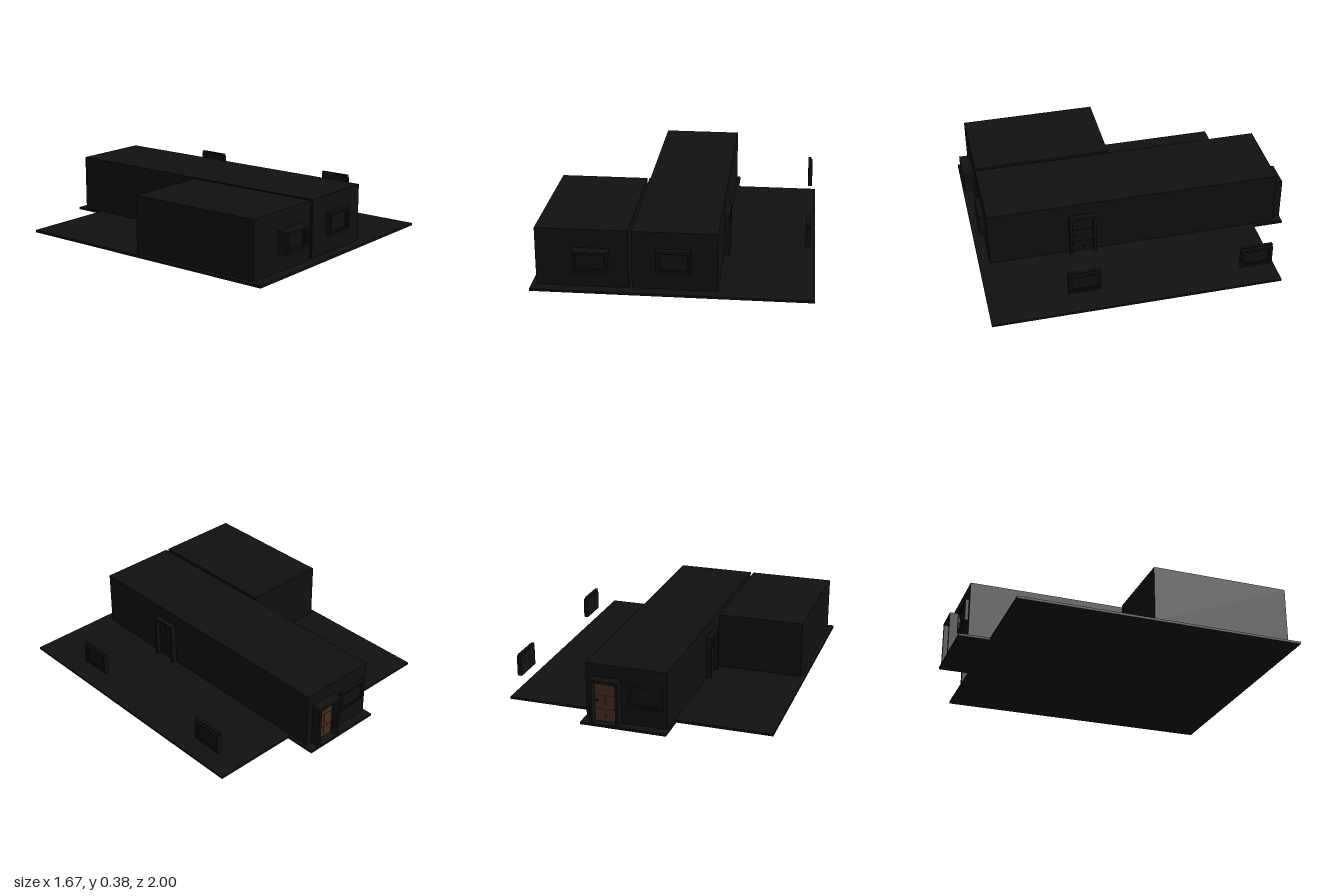
import * as THREE from 'three';

const dark = new THREE.MeshStandardMaterial({ color: 0x111111 });
const brown = new THREE.MeshStandardMaterial({ color: 0x4a2c22 });

// Box given by its min and max along each axis
function box(name, x0, x1, y0, y1, z0, z1, material = dark) {
  const mesh = new THREE.Mesh(new THREE.BoxGeometry(x1 - x0, y1 - y0, z1 - z0), material);
  mesh.position.set((x0 + x1) / 2, (y0 + y1) / 2, (z0 + z1) / 2);
  mesh.name = name;
  return mesh;
}

// Rectangular ring around an opening, extruded along +z from z = 0
function ring(name, w, h, border, depth) {
  const rect = (Type, a, b) => new Type([[-a, -b], [a, -b], [a, b], [-a, b]].map(p => new THREE.Vector2(...p)));
  const shape = rect(THREE.Shape, w / 2, h / 2);
  shape.holes.push(rect(THREE.Path, w / 2 - border, h / 2 - border));
  const mesh = new THREE.Mesh(new THREE.ExtrudeGeometry(shape, { depth, bevelEnabled: false }), dark);
  mesh.name = name;
  return mesh;
}

// Window facing +z, its back at z = 0 and its middle at the origin
function makeWindow(name, w, h, d) {
  const g = new THREE.Group();
  g.name = name;
  const sash = ring('windowSash', w - 0.03, h - 0.03, 0.008, d * 0.75);
  g.add(
    ring('windowFrame', w, h, 0.015, d), sash,
    box('windowPane', -w / 2 + 0.015, w / 2 - 0.015, -h / 2 + 0.015, h / 2 - 0.015, 0, d * 0.5),
  );
  return g;
}

// Panelled door facing +z, standing on y = 0 with its back at z = 0
function makeDoor(name, w, h, d, leafMaterial) {
  const g = new THREE.Group();
  g.name = name;
  const t = 0.018;
  const inner = w / 2 - t;
  g.add(
    box('doorJamb', -w / 2, -inner, 0, h, 0, d),
    box('doorJamb', inner, w / 2, 0, h, 0, d),
    box('doorHead', -inner, inner, h - t, h, 0, d),
    box('doorLeaf', -inner, inner, 0, h - t, 0, 0.008, leafMaterial),
  );
  // Raised panels, two across and three high
  const pw = inner - 0.012;
  const rows = [[0.02, 0.08], [0.1, 0.17], [0.19, 0.25]];
  for (const s of [-1, 1]) for (const [y0, y1] of rows) {
    const cx = s * inner / 2;
    g.add(box('doorPanel', cx - pw / 2, cx + pw / 2, y0, y1, 0.008, 0.012, leafMaterial));
  }
  // Handle
  g.add(box('doorHandle', -inner + 0.008, -inner + 0.025, 0.13, 0.14, 0.008, 0.022));
  return g;
}

function place(part, x, y, z, turn = 0) {
  part.position.set(x, y, z);
  part.rotation.y = turn;
  return part;
}

export function createModel() {
  const model = new THREE.Group();
  model.name = 'house';
  const floor = 0.015;
  const quarter = Math.PI / 2;

  // Ground slab with a porch at the back
  model.add(
    box('groundSlab', -0.835, 0.835, 0, floor, -0.805, 1),
    box('porchSlab', -0.245, 0.29, 0, floor, -1, -0.805),
  );

  // Short wing and long wing, with a narrow gap between them
  model.add(
    box('shortWing', -0.805, -0.255, floor, 0.375, 0.05, 0.93),
    box('longWing', -0.235, 0.27, floor, 0.375, -0.94, 0.93),
  );

  // Doors: +x side, -x side and back
  model.add(
    place(makeDoor('sideDoor', 0.17, 0.28, 0.035, dark), 0.27, floor, 0.335, quarter),
    place(makeDoor('courtDoor', 0.17, 0.28, 0.035, dark), -0.235, floor, -0.08, -quarter),
    place(makeDoor('backDoor', 0.18, 0.28, 0.06, brown), 0.14, floor, -0.94, Math.PI),
  );

  // Windows on the front and back walls
  model.add(
    place(makeWindow('frontWindowShortWing', 0.215, 0.135, 0.07), -0.4725, 0.1925, 0.93),
    place(makeWindow('frontWindowLongWing', 0.205, 0.145, 0.035), 0.0125, 0.198, 0.93),
    place(makeWindow('backWindow', 0.205, 0.14, 0.02), -0.105, 0.2, -0.94, Math.PI),
  );

  // Two free-standing windows along the +x edge
  for (const [x, z] of [[0.772, 0.425], [0.78, -0.64]]) {
    const unit = place(makeWindow('freeWindow', 0.2, 0.13, 0.028), x, 0.2, z, quarter);
    unit.add(box('windowLip', -0.1, 0.1, 0.073, 0.079, 0, 0.02));
    unit.add(box('lipBracket', -0.1, -0.092, 0.065, 0.073, 0.004, 0.01));
    unit.add(box('lipBracket', 0.092, 0.1, 0.065, 0.073, 0.004, 0.01));
    model.add(unit);
  }
  return model;
}
